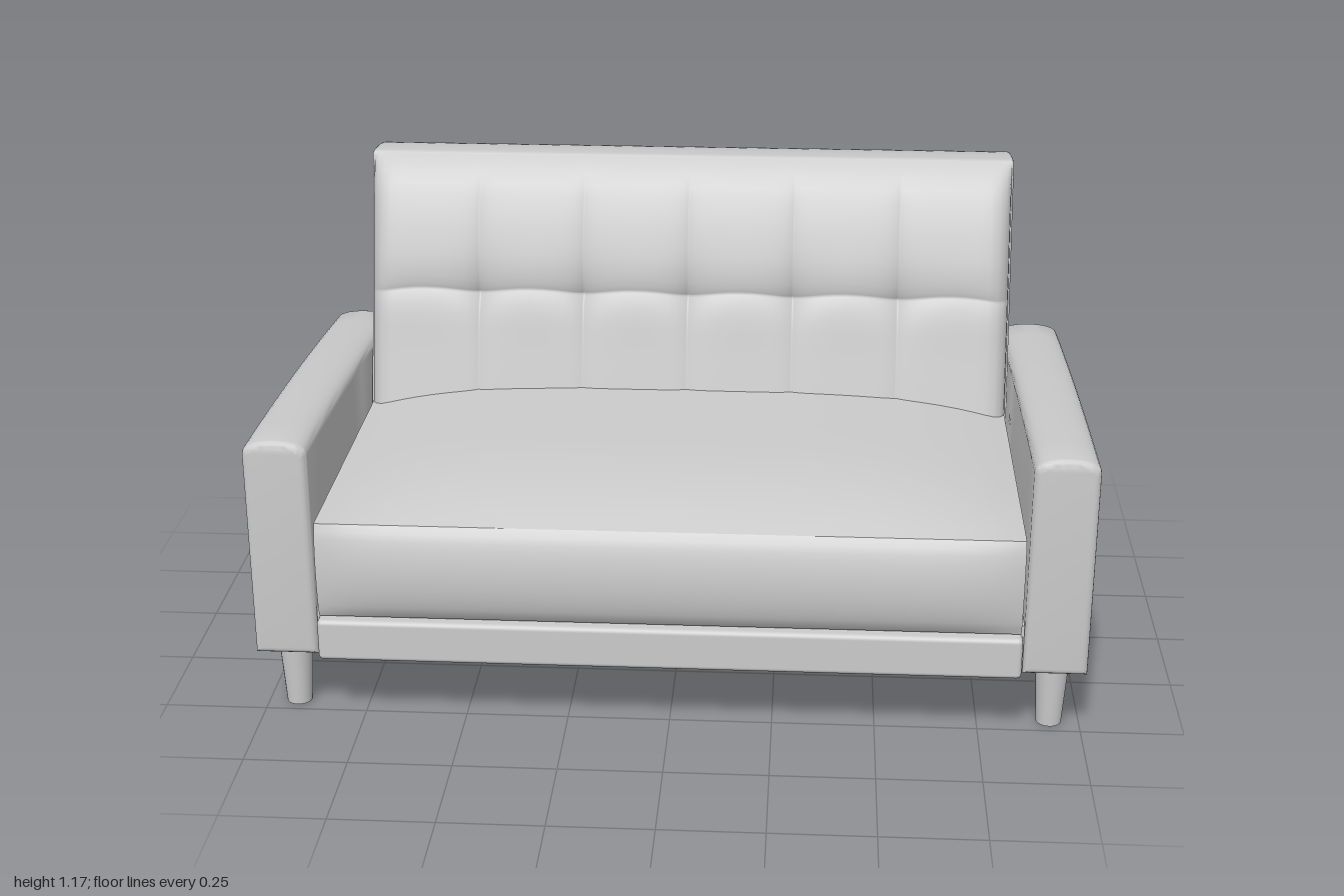
import * as THREE from 'three';
import { toCreasedNormals } from 'three/addons/utils/BufferGeometryUtils.js';
import { RoundedBoxGeometry } from 'three/addons/geometries/RoundedBoxGeometry.js';

const material = new THREE.MeshStandardMaterial({ color: 0xcccccc });
const softMaterial = new THREE.MeshStandardMaterial({ color: 0xcccccc, side: THREE.DoubleSide });

function addMesh(parent, name, geometry, x = 0, y = 0, z = 0, mat = material) {
  const mesh = new THREE.Mesh(geometry, mat);
  mesh.name = name;
  mesh.position.set(x, y, z);
  parent.add(mesh);
  return mesh;
}

// Move every vertex of a geometry by a rule
function reshape(geometry, rule) {
  const p = geometry.attributes.position;
  const v = new THREE.Vector3();
  for (let i = 0; i < p.count; i++) {
    rule(v.fromBufferAttribute(p, i), i);
    p.setXYZ(i, v.x, v.y, v.z);
  }
  geometry.computeVertexNormals();
  return geometry;
}

// Centred extrusion whose bevel stays inside the outline
function padExtrude(shape, length, bevel, steps = 1) {
  const g = new THREE.ExtrudeGeometry(shape, {
    depth: length - 2 * bevel, steps, curveSegments: 8,
    bevelSize: bevel, bevelThickness: bevel, bevelOffset: -bevel, bevelSegments: 4,
  });
  return g.translate(0, 0, -length / 2 + bevel);
}

// Crowned arm, with its top falling away towards the back
function armGeometry() {
  const s = new THREE.Shape();
  s.moveTo(-0.077, 0.185);
  s.lineTo(0.077, 0.185);
  s.lineTo(0.077, 0.705);
  s.bezierCurveTo(0.077, 0.732, 0.04, 0.74, 0, 0.74);
  s.bezierCurveTo(-0.04, 0.74, -0.077, 0.732, -0.077, 0.705);
  s.closePath();
  const g = padExtrude(s, 1.162, 0.018, 10).translate(0, 0, -0.017);
  reshape(g, (v) => {
    const u = Math.max(0, 0.55 - v.z);
    v.y -= (0.03 * u + 0.035 * u * u) * (v.y - 0.185) / 0.555;
  });
  return toCreasedNormals(g, 0.6);
}

// Slope of the backrest's front face
const frameZ = (y) => -0.41 + (1.165 - y) * 0.284;

function backFrameGeometry() {
  const s = new THREE.Shape();
  s.moveTo(-0.597, 0.185);
  s.lineTo(frameZ(0.185), 0.185);
  s.lineTo(frameZ(1.16), 1.16);
  s.quadraticCurveTo(-0.412, 1.172, -0.425, 1.172);
  s.quadraticCurveTo(-0.51, 1.171, -0.58, 1.15);
  s.quadraticCurveTo(-0.597, 1.145, -0.597, 1.125);
  s.closePath();
  return toCreasedNormals(padExtrude(s, 1.688, 0.009).rotateY(-Math.PI / 2), 0.6);
}

// Cushion thickness by height
const PROFILE = [[0.5, 0.06], [0.7, 0.064], [0.78, 0.068], [0.84, 0.068], [0.92, 0.076],
  [1.0, 0.072], [1.06, 0.064], [1.11, 0.05], [1.145, 0.028], [1.169, 0]];
function thickness(y) {
  const k = Math.max(1, PROFILE.findIndex((p) => p[0] >= y));
  const [a, b] = [PROFILE[k - 1], PROFILE[k]];
  return THREE.MathUtils.mapLinear(y, a[0], b[0], a[1], b[1]);
}

// Tufted back cushion: six columns and two rows of pillows
function backCushionGeometry() {
  const seams = [-0.839, -0.55, -0.275, 0, 0.275, 0.55, 0.839];
  const n = 14, columns = 6 * n, rows = 2 * n;
  const ease = (t) => 0.5 - 0.5 * Math.cos(Math.PI * t);
  return reshape(new THREE.PlaneGeometry(1, 1, columns, rows), (v, i) => {
    const c = i % (columns + 1), r = rows - Math.floor(i / (columns + 1));
    const col = Math.min(5, Math.floor(c / n)), row = Math.min(1, Math.floor(r / n));
    const s = ease(c / n - col), t = ease(r / n - row);
    const x = THREE.MathUtils.lerp(seams[col], seams[col + 1], s);
    const seamY = 0.826 + 0.018 * Math.sin(Math.PI * s);
    const y = row ? THREE.MathUtils.lerp(seamY, 1.168, t) : THREE.MathUtils.lerp(0.52, seamY, t);

    // Stitched creases, deepest where they cross
    let d = thickness(y);
    const inner = seams.slice(1, -1);
    const dx = Math.min(...inner.map((q) => Math.abs(x - q)));
    const dy = Math.abs(y - seamY);
    const fade = THREE.MathUtils.smoothstep(1.168 - y, 0, 0.12);
    d -= 0.007 * Math.exp(-dx / 0.02) * fade;
    d -= 0.010 * Math.exp(-dy / 0.02);
    d -= 0.026 * Math.exp(-dx / 0.045 - dy / 0.07);

    // Rounded outer sides
    const e = Math.min(1, (0.839 - Math.abs(x)) / 0.05);
    d = d * Math.sqrt(Math.max(0, 1 - (1 - e) ** 2)) - 0.003;
    v.set(x, y, frameZ(y) + d);
  });
}

// Seat cushion with a domed top and a puffed front
function seatCushionGeometry() {
  const w = 0.837, bottom = 0.295, h = 0.242, front = 0.567, depth = 0.85;
  const g = new THREE.BoxGeometry(2 * w, h, depth, 40, 14, 24);
  return reshape(g, (v) => {
    const u = Math.abs(v.x) / w, q = v.y / (h / 2);
    const a = (depth / 2 - v.z) / depth;
    const side = 1 - u ** 4;
    const lift = 0.06 * side * (1 - (1 - Math.min(1, a / 0.6)) ** 3);
    const puff = 0.034 * (1 - q ** 2) ** 0.7 * (1 - u ** 10 * 0.6);
    v.y += bottom + h / 2 + lift * (q + 1) / 2;
    v.z += front - depth / 2 + puff * (1 - a) ** 6;
  });
}

export function createModel() {
  const sofa = new THREE.Group();
  sofa.name = 'sofa';

  // Base and front rail
  addMesh(sofa, 'base', new THREE.BoxGeometry(1.69, 0.125, 1.14), 0, 0.2485, -0.015);
  addMesh(sofa, 'frontRail', new RoundedBoxGeometry(1.682, 0.105, 0.06, 4, 0.012), 0, 0.238, 0.56);

  // Upholstery
  addMesh(sofa, 'seatCushion', seatCushionGeometry());
  addMesh(sofa, 'backFrame', backFrameGeometry());
  addMesh(sofa, 'backCushion', backCushionGeometry(), 0, 0, 0, softMaterial);

  // Arms and tapered legs, mirrored
  const arm = armGeometry();
  const leg = new THREE.CylinderGeometry(0.043, 0.031, 0.19, 24);
  for (const [side, sx] of [['left', 1], ['right', -1]]) {
    addMesh(sofa, side + 'Arm', arm, sx * 0.923);
    addMesh(sofa, side + 'FrontLeg', leg, sx * 0.927, 0.095, 0.447);
    addMesh(sofa, side + 'BackLeg', leg, sx * 0.927, 0.095, -0.475);
  }
  return sofa;
}
